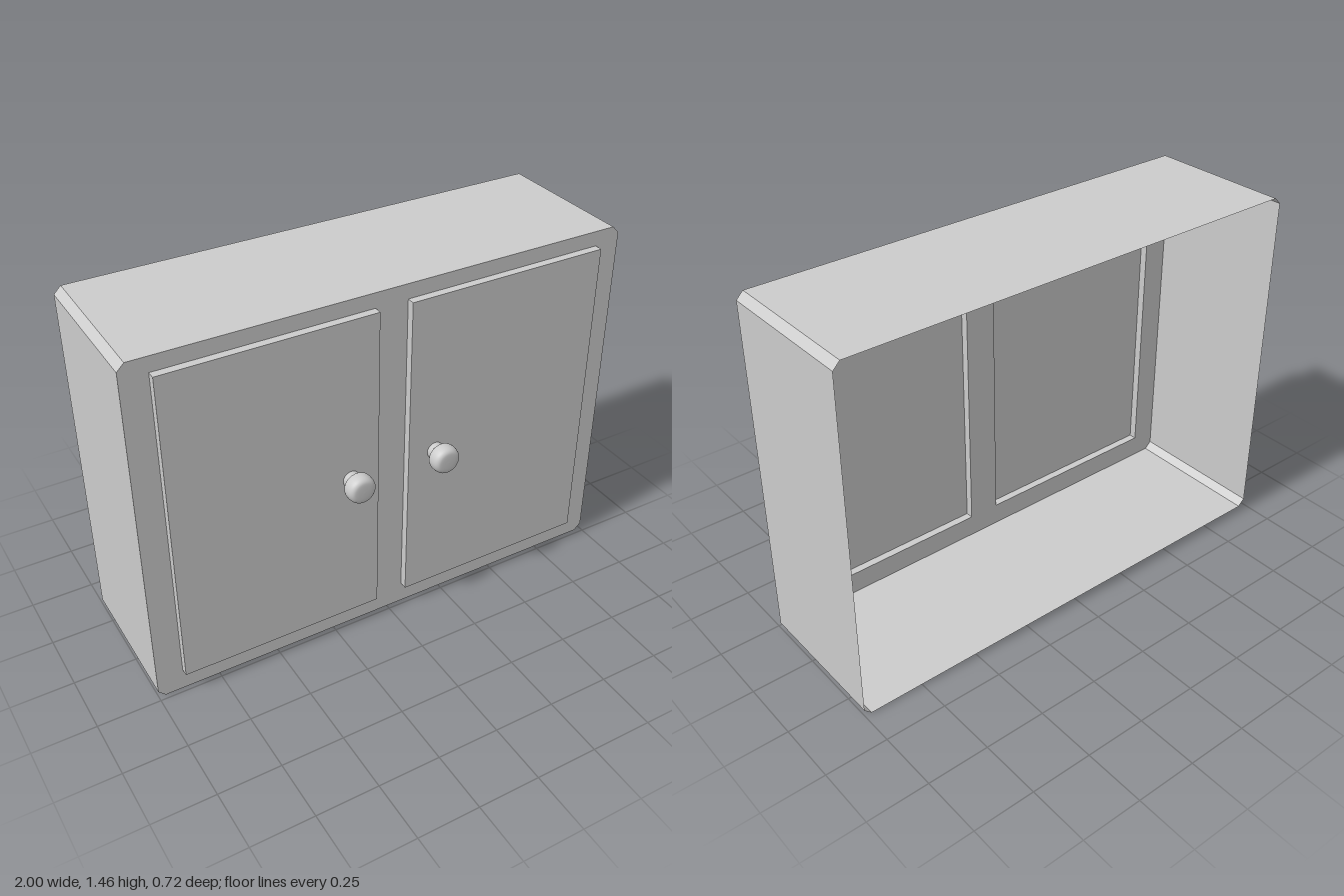
import * as THREE from 'three';

const material = new THREE.MeshStandardMaterial({ color: 0xcccccc, side: THREE.DoubleSide });

const HEIGHT = 1.458, BACK = -0.36, FRONT = 0.231, DOOR_FRONT = 0.263;
const CHAMFER = 0.028;
const DOOR = { inner: 0.066, outer: 0.896, bottom: 0.092, top: 1.398 };
const KNOB = { x: 0.183, y: 0.735 };

function addMesh(parent, name, geometry) {
  const mesh = new THREE.Mesh(geometry, material);
  mesh.name = name;
  parent.add(mesh);
  return mesh;
}

// Thin flat-shaded wall swept along z around a closed counter-clockwise outline
function wallGeometry(outline, z0, z1) {
  const positions = [];
  outline.forEach((a, i) => {
    const b = outline[(i + 1) % outline.length];
    positions.push(a.x, a.y, z0, b.x, b.y, z0, b.x, b.y, z1);
    positions.push(a.x, a.y, z0, b.x, b.y, z1, a.x, a.y, z1);
  });
  const geometry = new THREE.BufferGeometry();
  geometry.setAttribute('position', new THREE.Float32BufferAttribute(positions, 3));
  geometry.computeVertexNormals();
  return geometry;
}

// Rectangle outline with optional chamfered corners
function rectangle(x0, x1, y0, y1, c = 0) {
  const corners = c
    ? [[x0 + c, y0], [x1 - c, y0], [x1, y0 + c], [x1, y1 - c],
       [x1 - c, y1], [x0 + c, y1], [x0, y1 - c], [x0, y0 + c]]
    : [[x0, y0], [x1, y0], [x1, y1], [x0, y1]];
  return corners.map(([x, y]) => new THREE.Vector2(x, y));
}

// Knob profile along its axis: neck, then a rounded head with a soft flat face
function knobGeometry() {
  const head = new THREE.SplineCurve([
    [0.034, 0.031], [0.046, 0.034], [0.055, 0.045], [0.057, 0.062],
    [0.054, 0.082], [0.045, 0.094], [0.030, 0.098], [0, 0.099],
  ].map(([r, h]) => new THREE.Vector2(r, h))).getPoints(24);
  head[head.length - 1].x = 0;
  const geometry = new THREE.LatheGeometry([new THREE.Vector2(0.034, 0), ...head], 32);
  return geometry.rotateX(Math.PI / 2);
}

export function createModel() {
  const model = new THREE.Group();
  model.name = 'wallCabinet';

  // Open-backed cabinet body with chamfered corners
  const outline = rectangle(-1, 1, 0, HEIGHT, CHAMFER);
  addMesh(model, 'cabinetWalls', wallGeometry(outline, BACK, FRONT));

  // Front frame, cut out behind each raised door
  const frame = new THREE.Shape(outline);

  for (const [side, s] of [['left', 1], ['right', -1]]) {
    const x0 = Math.min(s * DOOR.inner, s * DOOR.outer);
    const x1 = Math.max(s * DOOR.inner, s * DOOR.outer);
    const edge = rectangle(x0, x1, DOOR.bottom, DOOR.top);
    frame.holes.push(new THREE.Path(edge));

    // Door: thin raised panel with a rim, hollow behind
    const door = new THREE.Group();
    door.name = `${side}Door`;
    addMesh(door, `${side}DoorRim`, wallGeometry(edge, FRONT, DOOR_FRONT));
    addMesh(door, `${side}DoorPanel`, new THREE.ShapeGeometry(new THREE.Shape(edge)))
      .position.z = DOOR_FRONT;
    addMesh(door, `${side}Knob`, knobGeometry())
      .position.set(s * KNOB.x, KNOB.y, DOOR_FRONT);
    model.add(door);
  }

  addMesh(model, 'frontFrame', new THREE.ShapeGeometry(frame)).position.z = FRONT;
  return model;
}
